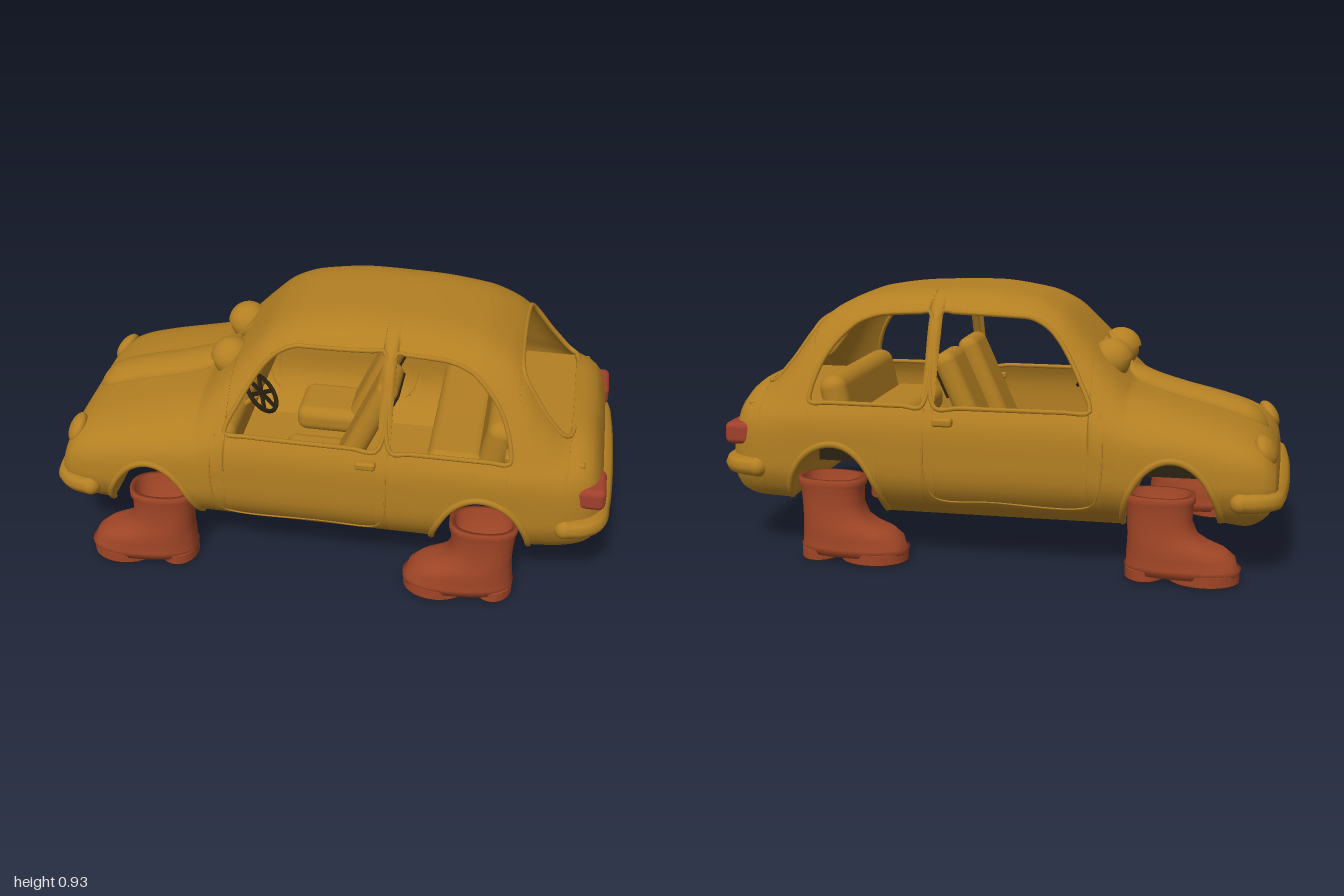
import * as THREE from 'three';
import { mergeVertices, mergeGeometries } from 'three/addons/utils/BufferGeometryUtils.js';
import { RoundedBoxGeometry } from 'three/addons/geometries/RoundedBoxGeometry.js';

const mat = (name, color, side = THREE.FrontSide) => {
  const m = new THREE.MeshStandardMaterial({ color, side });
  m.name = name;
  return m;
};

// smooth monotone curve through [x, y] points
function curve(p) {
  const d = p.slice(1).map((q, i) => (q[1] - p[i][1]) / (q[0] - p[i][0]));
  const m = p.map((_, i) => {
    const a = d[Math.max(i - 1, 0)], b = d[Math.min(i, d.length - 1)];
    return a * b <= 0 ? 0 : (2 * a * b) / (a + b);
  });
  return x => {
    if (x <= p[0][0]) return p[0][1];
    if (x >= p[p.length - 1][0]) return p[p.length - 1][1];
    let i = 0;
    while (x > p[i + 1][0]) i++;
    const h = p[i + 1][0] - p[i][0], t = (x - p[i][0]) / h, s = 1 - t;
    return p[i][1] * (1 + 2 * t) * s * s + p[i + 1][1] * t * t * (3 - 2 * t) + h * m[i] * t * s * s - h * m[i + 1] * t * t * s;
  };
}

// surface over a grid of points; flip reverses the winding
function grid(nu, nv, fn, flip = false) {
  const pos = [], idx = [];
  for (let i = 0; i <= nu; i++) for (let j = 0; j <= nv; j++) pos.push(...fn(i, j));
  for (let i = 0; i < nu; i++) for (let j = 0; j < nv; j++) {
    const a = i * (nv + 1) + j, b = a + nv + 1;
    if (flip) idx.push(a, b + 1, b, a, a + 1, b + 1);
    else idx.push(a, b, b + 1, a, b + 1, a + 1);
  }
  const g = new THREE.BufferGeometry();
  g.setAttribute('position', new THREE.Float32BufferAttribute(pos, 3));
  g.setIndex(idx);
  return g;
}

// body curves along the length (nose at -x)
const top = curve([[-0.965, 0.33], [-0.955, 0.385], [-0.935, 0.43], [-0.88, 0.475], [-0.75, 0.52], [-0.6, 0.56], [-0.46, 0.61],
  [-0.4, 0.67], [-0.3, 0.78], [-0.2, 0.87], [-0.1, 0.91], [0.1, 0.935], [0.3, 0.93], [0.5, 0.905], [0.6, 0.865], [0.66, 0.82],
  [0.75, 0.7], [0.82, 0.62], [0.89, 0.59], [0.935, 0.54], [0.957, 0.44], [0.965, 0.35]]);
const base = curve([[-0.965, 0.33], [-0.955, 0.27], [-0.92, 0.21], [-0.86, 0.175], [-0.78, 0.19], [-0.76, 0.17], [-0.4, 0.158],
  [0.4, 0.158], [0.72, 0.2], [0.86, 0.2], [0.92, 0.22], [0.957, 0.27], [0.965, 0.35]]);
const plan = curve([[-0.965, 0.34], [-0.955, 0.37], [-0.92, 0.405], [-0.8, 0.435], [-0.5, 0.45], [0, 0.455], [0.6, 0.455],
  [0.8, 0.437], [0.88, 0.412], [0.93, 0.38], [0.957, 0.345], [0.965, 0.32]]);
const flank = curve([[0.15, 0.72], [0.2, 0.86], [0.25, 0.95], [0.32, 1], [0.45, 1], [0.5, 0.985], [0.56, 0.93], [0.75, 0.81], [0.95, 0.76]]);
const arches = [{ c: -0.612, r: 0.165, h: 0.41 }, { c: 0.555, r: 0.17, h: 0.415 }];
const sideWindows = [
  { a: -0.335, b: 0.195, top: curve([[-0.335, 0.575], [-0.3, 0.645], [-0.22, 0.775], [-0.16, 0.83], [-0.1, 0.852], [0.195, 0.865]]) },
  { a: 0.24, b: 0.64, top: curve([[0.24, 0.862], [0.4, 0.852], [0.48, 0.83], [0.55, 0.775], [0.61, 0.69], [0.64, 0.6]]) }];
const SILL = 0.555, Y0 = 0.25, P = 4.5;
const topHoles = [{ a: -0.38, b: -0.33, z: () => 0.035 },
  { a: 0.655, b: 0.835, z: curve([[0.655, 0.22], [0.675, 0.255], [0.81, 0.285], [0.835, 0.265]]) }];

const lower = x => {
  const a = arches.find(q => Math.abs(x - q.c) < q.r);
  return a ? base(x) + (a.h - base(x)) * Math.sqrt(1 - ((x - a.c) / a.r) ** 2) : base(x);
};
const zAt = (x, y) => {
  const u = Math.min(1, Math.max(0, (y - Y0) / (top(x) - Y0)));
  return plan(x) * flank(y) * (1 - u ** P) ** (1 / P);
};
const inside = (list, x) => list.find(w => x >= w.a && x <= w.b);

// stations are doubled at the edges of openings
function stations() {
  const s = [-0.965, -0.962, -0.955, 0.957, 0.962, 0.965];
  for (let i = 0; i <= 100; i++) s.push(-0.95 + i * 0.019);
  for (const a of arches) for (let i = 0; i <= 24; i++) s.push(a.c - a.r * Math.cos(i * Math.PI / 24));
  for (const w of [...sideWindows, ...topHoles]) s.push(w.a, w.a - 0.0005, w.b, w.b + 0.0005);
  return s.sort((a, b) => a - b);
}

// point on the upper skin, t from the window head (0) to the centre line or opening (1)
function upperPoint(x, t) {
  const w = inside(sideWindows, x), h = inside(topHoles, x), T = top(x), L = lower(x);
  const start = w ? w.top(x) : (L + T) / 2;
  const u0 = Math.min(1, Math.max(0, (start - Y0) / (T - Y0)));
  const a0 = Math.asin(u0 ** (P / 2));
  const a1 = h ? Math.acos((h.z(x) / (plan(x) * flank(T))) ** (P / 2)) : Math.PI / 2;
  const a = a0 + (a1 - a0) * t;
  const y = Y0 + (T - Y0) * Math.sin(a) ** (2 / P);
  return [x, y, plan(x) * flank(y) * Math.max(0, Math.cos(a)) ** (2 / P)];
}

function bodyGeometry(xs) {
  const parts = [];
  for (const s of [1, -1]) {
    parts.push(grid(xs.length - 1, 10, (i, j) => {
      const x = xs[i], L = lower(x), e = inside(sideWindows, x) ? SILL : (L + top(x)) / 2;
      const y = L + (e - L) * j / 10;
      return [x, y, s * zAt(x, y)];
    }, s < 0));
    parts.push(grid(xs.length - 1, 16, (i, j) => {
      const p = upperPoint(xs[i], j / 16);
      return [p[0], p[1], s * p[2]];
    }, s < 0));
  }
  const g = mergeVertices(mergeGeometries(parts), 1e-4);
  g.computeVertexNormals();
  return g;
}

export function createModel() {
  const root = new THREE.Group();
  root.name = 'bootedCar';
  const paint = mat('ochrePaint', 0xb37f22, THREE.DoubleSide);
  const rubber = mat('redRubber', 0x9f4526, THREE.DoubleSide);
  const lamp = mat('redLamp', 0xa03f2c);
  const dark = mat('darkBrown', 0x2b2110, THREE.DoubleSide);
  const add = (name, g, m, pos = [0, 0, 0], rot = [0, 0, 0], parent = root) => {
    const mesh = new THREE.Mesh(g, m);
    mesh.name = name;
    mesh.position.set(...pos);
    mesh.rotation.set(...rot);
    parent.add(mesh);
    return mesh;
  };
  const tube = (name, pts, r, m, closed = false, n = 48) => add(name, new THREE.TubeGeometry(
    new THREE.CatmullRomCurve3(pts.map(p => new THREE.Vector3(...p)), closed, 'centripetal'), n, r, 8, closed), m);
  const box = (w, h, d, r) => new RoundedBoxGeometry(w, h, d, 4, r);
  const ball = (x, y, z) => new THREE.SphereGeometry(1, 28, 18).scale(x, y, z);

  // shell and underside
  const xs = stations();
  add('bodyShell', bodyGeometry(xs), paint);
  const floor = grid(xs.length - 1, 1, (i, j) => [xs[i], lower(xs[i]), (j ? 1 : -1) * zAt(xs[i], lower(xs[i]))]);
  floor.computeVertexNormals();
  add('underside', floor, paint);
  add('rearUndersidePlate', new THREE.BoxGeometry(0.008, 0.035, 0.38), dark, [0.392, 0.177, 0]);
  for (const a of arches) add('wheelWellCore', new THREE.BoxGeometry(0.23, 0.11, 0.46), dark, [a.c + 0.01, 0.355, 0]);

  // nose ridge follows the bonnet
  const nose = new THREE.CapsuleGeometry(0.085, 0.34, 10, 24, 24).rotateZ(Math.PI / 2).scale(1, 0.55, 1).translate(-0.665, 0, 0);
  const np = nose.attributes.position;
  for (let i = 0; i < np.count; i++) np.setY(i, np.getY(i) + top(np.getX(i)) - 0.004);
  nose.computeVertexNormals();
  add('noseRidge', nose, paint);
  add('noseVent', new THREE.BoxGeometry(0.025, 0.012, 0.04), paint, [-0.385, 0.685, 0], [0, 0, 0.8]);

  // rear window frame
  const rear = topHoles[1], rim = [];
  for (let i = 0; i <= 12; i++) rim.push(upperPoint(rear.a + (rear.b - rear.a) * i / 12, 1));
  tube('rearWindowFrame', [...rim, ...rim.map(p => [p[0], p[1], -p[2]]).reverse()], 0.009, paint, true, 100);

  for (const s of [1, -1]) {
    const on = (x, y, o = 0) => [x, y, s * (zAt(x, y) + o)];
    // eyes with heavy lids
    add('eye', ball(0.066, 0.07, 0.07), paint, [-0.373, 0.69, s * 0.13]);
    add('eyelid', new THREE.SphereGeometry(0.075, 28, 12, 0, Math.PI * 2, 0, Math.PI / 2), paint, [-0.373, 0.69, s * 0.13], [0, 0, -0.15]);
    // lamps, handles
    add('headlight', ball(0.03, 0.055, 0.065), paint, [-0.917, 0.428, s * 0.29], [0, s * 0.2, -0.5]);
    add('tailLight', box(0.105, 0.08, 0.15, 0.022), lamp, [0.916, 0.425, s * 0.331]);
    add('doorHandle', box(0.07, 0.03, 0.03, 0.01), paint, [0.16, 0.51, s * 0.45]);
    // window frames, arch lips and door seam
    for (const w of sideWindows) {
      const pts = [];
      for (let i = 0; i <= 14; i++) {
        const x = w.a + (w.b - w.a) * i / 14;
        pts.push(on(x, w.top(x)));
      }
      for (let i = 0; i <= 6; i++) pts.push(on(w.b + (w.a - w.b) * i / 6, SILL));
      tube('sideWindowFrame', pts, 0.008, paint, true, 90);
    }
    for (const a of arches) {
      const pts = [];
      for (let i = 0; i <= 16; i++) {
        const x = a.c - a.r * 0.999 * Math.cos(i * Math.PI / 16);
        pts.push(on(x, lower(x), -0.002));
      }
      tube('archLip', pts, 0.012, paint);
    }
    tube('doorSeam', [on(-0.37, 0.55), on(-0.385, 0.45), on(-0.375, 0.3), on(-0.34, 0.235), on(0, 0.23), on(0.19, 0.235),
      on(0.225, 0.3), on(0.23, 0.45), on(0.23, 0.55)], 0.003, paint, false, 70);
    // front seats
    add('frontSeatBack', box(0.08, 0.44, 0.2, 0.038), paint, [0.125, 0.51, s * 0.175], [0, 0, -0.42]);
    add('frontSeatCushion', box(0.26, 0.1, 0.22, 0.04), paint, [-0.06, 0.31, s * 0.175]);
    add('seatBackPanel', box(0.008, 0.13, 0.16, 0.003), dark, [0.216, 0.612, s * 0.175], [0, 0, -0.42]);
  }

  // rest of the cabin
  add('rearSeatBack', box(0.1, 0.24, 0.64, 0.045), paint, [0.585, 0.505, 0], [0, 0, -0.2]);
  add('rearSeatCushion', box(0.2, 0.1, 0.64, 0.04), paint, [0.45, 0.44, 0]);
  add('parcelShelf', box(0.27, 0.03, 0.72, 0.01), paint, [0.755, 0.525, 0]);
  add('dashboard', box(0.12, 0.14, 0.76, 0.04), paint, [-0.37, 0.49, 0]);
  const wheel = new THREE.Group();
  wheel.name = 'steeringWheel';
  wheel.position.set(-0.255, 0.59, 0.19);
  wheel.rotation.z = 0.72;
  root.add(wheel);
  add('wheelRim', new THREE.TorusGeometry(0.075, 0.008, 8, 32), dark, [0, 0, 0], [0, Math.PI / 2, 0], wheel);
  for (const r of [0, 1, 2]) add('wheelSpoke', new THREE.BoxGeometry(0.008, 0.145, 0.014), dark, [0, 0, 0], [r * Math.PI / 3, 0, 0], wheel);
  add('steeringColumn', new THREE.CylinderGeometry(0.01, 0.01, 0.12, 10), paint, [-0.06, 0, 0], [0, 0, Math.PI / 2], wheel);

  // bumpers
  for (const [name, s, y] of [['frontBumper', -1, 0.275], ['rearBumper', 1, 0.313]]) {
    const half = [[0.84, 0.42], [0.9, 0.405], [0.945, 0.365], [0.958, 0.27], [0.965, 0.12]];
    const pts = [...half, ...half.map(p => [p[0], -p[1]]).reverse()].map(p => [s * p[0], y, p[1]]);
    tube(name, pts, 0.035, paint, false, 60);
    for (const z of [1, -1]) add(name + 'End', ball(0.035, 0.035, 0.035), paint, [s * 0.84, y, z * 0.42]);
  }

  // boots: rings of [height, toe x, heel x, half width], the last ones line the inside
  const rings = [[0.025, -0.2, -0.19, 0.005], [0.025, -0.385, -0.005, 0.097], [0.05, -0.392, 0, 0.102], [0.052, -0.38, -0.006, 0.097],
    [0.085, -0.372, -0.006, 0.097], [0.11, -0.34, -0.008, 0.094], [0.13, -0.285, -0.01, 0.09], [0.155, -0.245, -0.01, 0.085],
    [0.2, -0.226, -0.008, 0.08], [0.262, -0.228, -0.002, 0.08], [0.265, -0.235, 0.003, 0.085], [0.292, -0.235, 0.003, 0.085],
    [0.292, -0.215, -0.015, 0.07], [0.2, -0.205, -0.02, 0.065], [0.2, -0.12, -0.11, 0.003]];
  const bend = (v, e) => Math.sign(v) * Math.abs(v) ** e;
  const bootShape = mergeVertices(grid(32, rings.length - 1, (i, j) => {
    const [y, f, b, w] = rings[j], a = i * Math.PI / 16;
    return [(f + b) / 2 + (b - f) / 2 * bend(Math.cos(a), 0.85), y, -w * bend(Math.sin(a), 0.8)];
  }), 1e-5);
  bootShape.computeVertexNormals();
  const pad = (h, rx, rz) => new THREE.CylinderGeometry(1, 1, h, 28).scale(rx, 1, rz);
  for (const [name, x] of [['frontBoot', -0.46], ['rearBoot', 0.685]]) for (const s of [1, -1]) {
    const boot = new THREE.Group();
    boot.name = name;
    boot.position.set(x, 0, s * 0.392);
    boot.rotation.y = s * 0.07;
    root.add(boot);
    add('bootUpper', bootShape, rubber, [0, 0, 0], [0, 0, 0], boot);
    for (const [part, px, rx, rz] of [['toeSole', -0.268, 0.12, 0.098], ['heelSole', -0.072, 0.07, 0.088]]) {
      add(part, pad(0.035, rx, rz), rubber, [px, 0.0225, 0], [0, 0, 0], boot);
      add(part + 'Tread', pad(0.006, rx * 0.97, rz * 0.97), dark, [px, 0.003, 0], [0, 0, 0], boot);
    }
  }
  return root;
}
